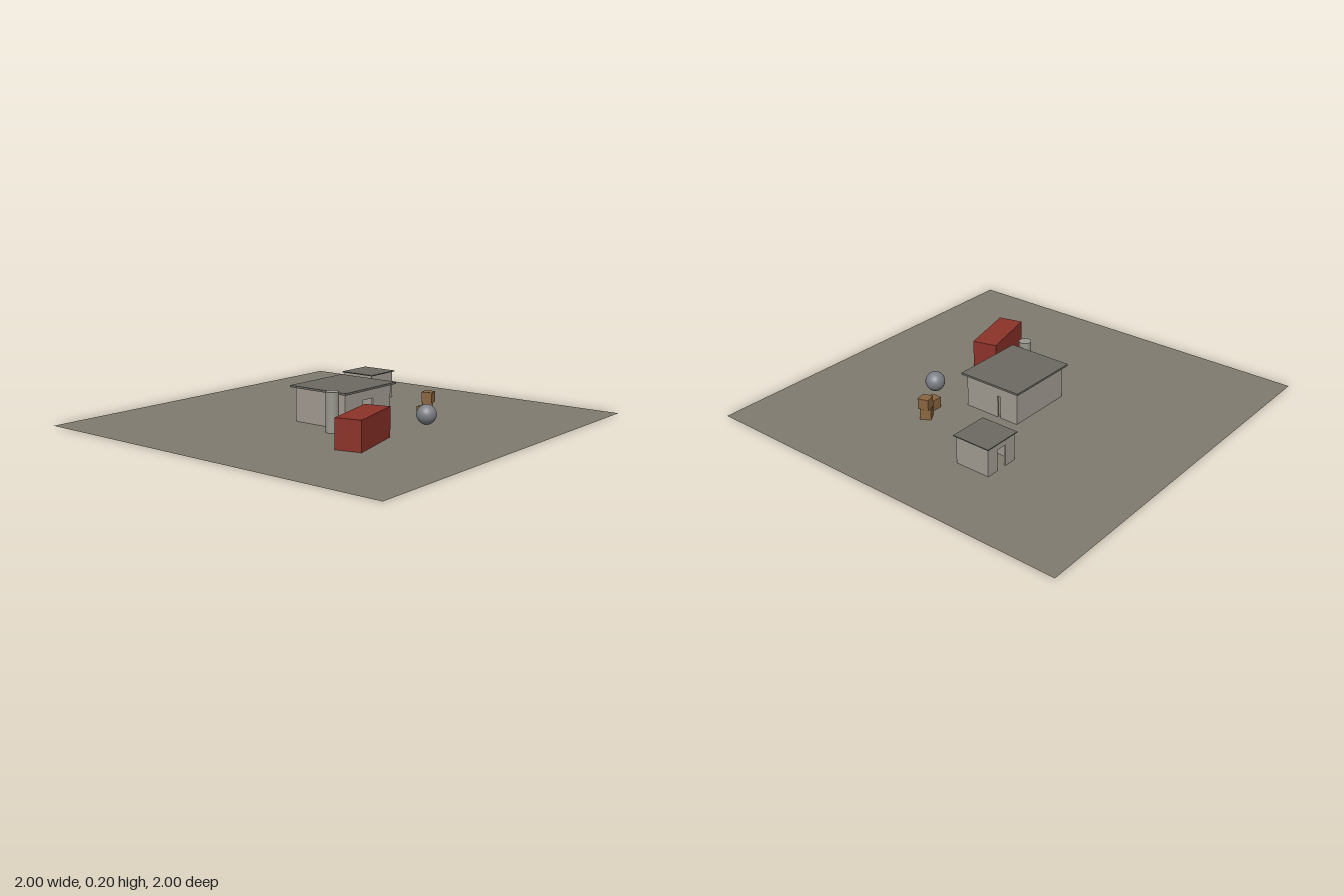
import * as THREE from 'three';

const mat = (color, extra = {}) => new THREE.MeshStandardMaterial({ color, ...extra });
const groundMat = mat(0x7f7b6f, { side: THREE.DoubleSide });
const wallMat = mat(0xa39c92);
const roofMat = mat(0x6c6962);
const redMat = mat(0x8c3229);
const crateMat = mat(0x8a6540);
const tankMat = mat(0x9a978f);
const ballMat = mat(0x7b7e85);

function add(parent, name, geometry, material, x = 0, y = 0, z = 0, turn = 0) {
  const mesh = new THREE.Mesh(geometry, material);
  mesh.name = name;
  mesh.position.set(x, y, z);
  mesh.rotation.y = turn;
  parent.add(mesh);
  return mesh;
}

// Upright wall panel with an optional rectangular opening {x, y, w, h}; its outer face is +z at z = 0
function wallGeometry(width, height, thick, hole) {
  const w = width / 2;
  const rect = (P, x0, y0, x1, y1) => {
    const p = new P();
    p.moveTo(x0, y0).lineTo(x1, y0).lineTo(x1, y1).lineTo(x0, y1).closePath();
    return p;
  };
  let shape;
  if (hole && hole.y === 0) {
    // doorway: notch reaching the ground
    const a = hole.x - hole.w / 2, b = hole.x + hole.w / 2;
    shape = new THREE.Shape([[-w, 0], [a, 0], [a, hole.h], [b, hole.h], [b, 0], [w, 0], [w, height], [-w, height]]
      .map(([x, y]) => new THREE.Vector2(x, y)));
  } else {
    shape = rect(THREE.Shape, -w, 0, w, height);
    if (hole) shape.holes.push(rect(THREE.Path, hole.x - hole.w / 2, hole.y, hole.x + hole.w / 2, hole.y + hole.h));
  }
  return new THREE.ExtrudeGeometry(shape, { depth: thick, bevelEnabled: false }).translate(0, 0, -thick);
}

// Hollow building: four walls and an overhanging flat roof slab
function building(name, { w, d, h, thick, roofW, roofD, roofH, openings }) {
  const group = new THREE.Group();
  group.name = name;
  const inner = d - 2 * thick;
  add(group, 'frontWall', wallGeometry(w, h, thick, openings.front), wallMat, 0, 0, d / 2);
  add(group, 'backWall', wallGeometry(w, h, thick, openings.back), wallMat, 0, 0, -d / 2, Math.PI);
  add(group, 'leftWall', wallGeometry(inner, h, thick, openings.left), wallMat, w / 2, 0, 0, Math.PI / 2);
  add(group, 'rightWall', wallGeometry(inner, h, thick, openings.right), wallMat, -w / 2, 0, 0, -Math.PI / 2);
  add(group, 'roof', new THREE.BoxGeometry(roofW, roofH, roofD), roofMat, 0, h + roofH / 2, 0);
  return group;
}

export function createModel() {
  const model = new THREE.Group();
  model.name = 'yard';

  add(model, 'ground', new THREE.PlaneGeometry(2, 2).rotateX(-Math.PI / 2), groundMat);

  // Main house with a front window and a narrow side opening
  model.add(building('house', {
    w: 0.36, d: 0.31, h: 0.172, thick: 0.01, roofW: 0.4, roofD: 0.35, roofH: 0.01,
    openings: {
      front: { x: -0.002, y: 0.053, w: 0.078, h: 0.07 },
      left: { x: 0.045, y: 0, w: 0.016, h: 0.117 },
    },
  }));

  // Shed with a doorway in the back
  const shed = building('shed', {
    w: 0.186, d: 0.186, h: 0.142, thick: 0.008, roofW: 0.204, roofD: 0.204, roofH: 0.005,
    openings: { back: { x: 0, y: 0, w: 0.054, h: 0.108 } },
  });
  shed.position.set(0.524, 0, -0.25);
  model.add(shed);

  // Shipping container
  add(model, 'container', new THREE.BoxGeometry(0.328, 0.146, 0.13), redMat, -0.334, 0.073, 0.386, 0.25);

  // Upright tank beside the house
  add(model, 'tank', new THREE.CylinderGeometry(0.032, 0.032, 0.196, 24), tankMat, -0.25, 0.098, 0.135);

  // Ball tank in the yard
  add(model, 'ball', new THREE.SphereGeometry(0.05, 32, 20), ballMat, 0.165, 0.051, 0.387);

  // Crates: one alone, two stacked
  const s = 0.055;
  [
    ['singleCrate', 0.305, 0, 0.275, 0],
    ['lowerCrate', 0.397, 0, 0.233, 0.56],
    ['upperCrate', 0.399, 1, 0.235, 0.28],
  ].forEach(([name, x, level, z, turn]) =>
    add(model, name, new THREE.BoxGeometry(s, s, s), crateMat, x, s * (level + 0.5), z, turn));

  return model;
}
